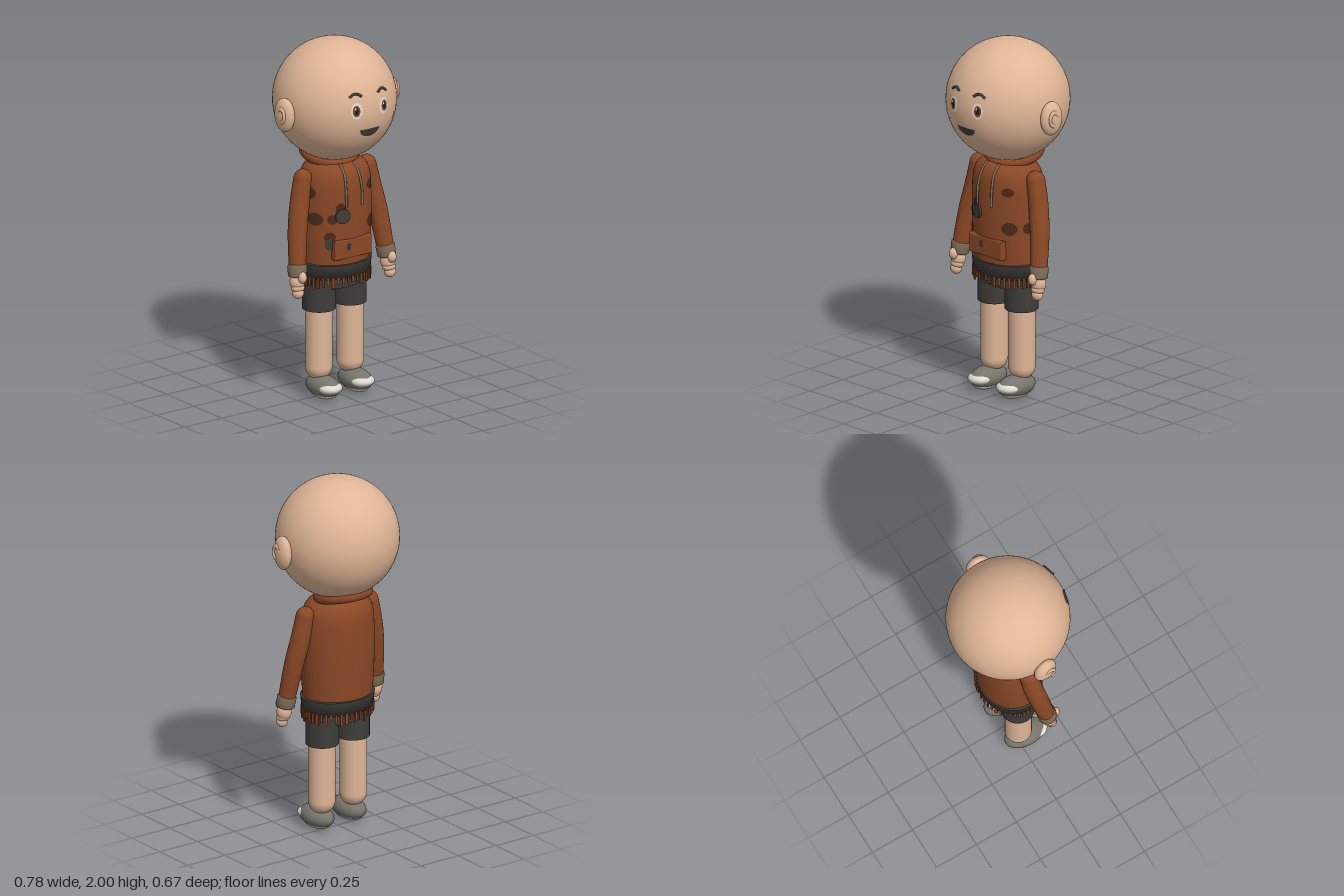
import * as THREE from 'three';

const mat = (name, color) => Object.assign(new THREE.MeshStandardMaterial({ color }), { name });

export function createModel() {
  const model = new THREE.Group();
  model.name = 'child';
  const skin = mat('skin', 0xdfb596), hoodie = mat('hoodie brown', 0x8a4826), dark = mat('charcoal', 0x3f3d3a);
  const spotMat = mat('patch brown', 0x4a2a1a), cuffMat = mat('khaki grey', 0x7d6c58);
  const shoeMat = mat('shoe grey', 0x77746d), white = mat('off white', 0xdedad2);
  const iris = mat('iris brown', 0x7a3e22), black = mat('pupil black', 0x1c1817);

  const add = (name, geo, material, x = 0, y = 0, z = 0) => {
    const m = new THREE.Mesh(geo, material);
    m.name = name;
    m.position.set(x, y, z);
    model.add(m);
    return m;
  };
  const ellipsoid = (name, material, x, y, z, rx, ry, rz) =>
    add(name, new THREE.SphereGeometry(1, 32, 20).scale(rx, ry, rz), material, x, y, z);
  const path = (pts) => new THREE.CatmullRomCurve3(pts.map((p) => new THREE.Vector3(...p)));
  const tube = (pts, r) => new THREE.TubeGeometry(path(pts), 16, r, 8);

  // Tube whose radius changes along its length
  const taperedTube = (pts, radiusAt) => {
    const curve = path(pts), seg = 24, sides = 24;
    const geo = new THREE.TubeGeometry(curve, seg, 1, sides);
    const pos = geo.attributes.position, v = new THREE.Vector3();
    for (let i = 0; i < pos.count; i++) {
      const t = Math.floor(i / (sides + 1)) / seg, c = curve.getPointAt(t);
      v.fromBufferAttribute(pos, i).sub(c).multiplyScalar(radiusAt(t)).add(c);
      pos.setXYZ(i, v.x, v.y, v.z);
    }
    geo.computeVertexNormals();
    return geo;
  };
  // Thin disc whose points are wrapped onto a surface by a rule
  const patch = (rx, ry, wrap, start = 0, length = Math.PI * 2) => {
    const geo = new THREE.RingGeometry(0.001, 1, 32, 5, start, length);
    const pos = geo.attributes.position;
    for (let i = 0; i < pos.count; i++) pos.setXYZ(i, ...wrap(pos.getX(i) * rx, pos.getY(i) * ry));
    geo.computeVertexNormals();
    return geo;
  };

  // Head
  const headR = 0.335, headY = 1.665;
  add('head', new THREE.SphereGeometry(headR, 64, 48), skin, 0, headY, 0);
  const faceZ = (x, y) => Math.sqrt(headR ** 2 - x * x - (y - headY) ** 2);
  const onFace = (name, material, cx, cy, rx, ry, lift, ...arc) =>
    add(name, patch(rx, ry, (u, v) => [cx + u, cy + v, faceZ(cx + u, cy + v) + lift], ...arc), material);

  for (const s of [-1, 1]) {
    // Ears
    ellipsoid('ear', skin, s * 0.348, 1.64, 0.022, 0.04, 0.095, 0.068).rotation.y = s * -0.12;
    const fold = add('earFold', new THREE.TorusGeometry(0.026, 0.009, 10, 24, Math.PI * 1.5), skin, s * 0.381, 1.645, 0.035);
    fold.rotation.y = Math.PI / 2;
    fold.scale.y = 1.4;
    // Eyes, brows and cheeks
    onFace('eyeWhite', white, s * 0.088, 1.69, 0.033, 0.045, 0.002);
    onFace('iris', iris, s * 0.092, 1.69, 0.021, 0.031, 0.004);
    onFace('pupil', black, s * 0.092, 1.69, 0.011, 0.018, 0.005);
    onFace('eyeGlint', white, s * 0.092 - 0.006, 1.702, 0.005, 0.006, 0.006);
    const brow = [[0.053, 1.766], [0.075, 1.78], [0.098, 1.78], [0.122, 1.765]];
    add('eyebrow', tube(brow.map(([x, y]) => [s * x, y, faceZ(x, y) + 0.002]), 0.007), dark);
    onFace('cheek', skin, s * 0.165, 1.607, 0.038, 0.025, 0.002);
  }
  onFace('mouth', dark, 0, 1.577, 0.064, 0.047, 0.003, Math.PI, Math.PI);

  // Hoodie body: oval sections, rounded at the shoulders
  const depth = 0.83;
  const bodyR = (y) => {
    const t = Math.max(0, (y - 1.15) / 0.19);
    return (0.2 + 0.011 * Math.sin((Math.PI * (y - 0.76)) / 0.58)) * Math.cbrt(Math.max(0, 1 - t ** 4));
  };
  const profile = [new THREE.Vector2(0, 0.73)];
  for (let i = 0; i <= 40; i++) {
    const y = 0.73 + 0.61 * Math.sin((i / 40) * Math.PI / 2);
    profile.push(new THREE.Vector2(bodyR(y), y));
  }
  add('hoodieBody', new THREE.LatheGeometry(profile, 48).scale(1, 1, depth), hoodie);
  const collar = add('hoodCollar', new THREE.TorusGeometry(0.132, 0.031, 16, 48).rotateX(Math.PI / 2), hoodie, 0, 1.35, -0.05);
  collar.rotation.x = 0.22;

  // Worn patches on the chest: x, y, half width, half height
  const spots = [
    [0.13, 1.19, 0.035, 0.025], [-0.202, 1.18, 0.05, 0.036], [-0.188, 1.035, 0.05, 0.036],
    [0.14, 0.985, 0.045, 0.037], [0.203, 0.985, 0.04, 0.032], [-0.078, 1.095, 0.027, 0.03],
    [-0.118, 1.035, 0.03, 0.027], [-0.13, 0.935, 0.032, 0.028],
  ];
  const onBody = (name, material, [x, y, rx, ry], lift) => {
    const a0 = Math.asin(x / bodyR(y));
    add(name, patch(rx, ry, (u, v) => {
      const r = bodyR(y + v) + lift, a = a0 + u / 0.2;
      return [r * Math.sin(a), y + v, depth * r * Math.cos(a)];
    }), material);
  };
  spots.forEach((s) => onBody('wornPatch', spotMat, s, 0.003));
  onBody('smallBadge', dark, [-0.125, 0.893, 0.034, 0.034], 0.006);
  const badge = add('roundBadge', new THREE.CylinderGeometry(0.042, 0.042, 0.012, 32).rotateX(Math.PI / 2), dark, -0.068, 1.05, 0.168);
  badge.rotation.y = -0.3;

  // Front pocket with pull tab
  const w = 0.112, h = 0.045, pocket = new THREE.Shape();
  pocket.moveTo(-w, -h).lineTo(w, -h).lineTo(w, h).lineTo(-w, h);
  add('pocket', new THREE.ExtrudeGeometry(pocket, { depth: 0.03, bevelSize: 0.009, bevelThickness: 0.006, bevelSegments: 3 }), hoodie, 0, 0.862, 0.14);
  ellipsoid('pocketPull', dark, -0.03, 0.872, 0.177, 0.009, 0.02, 0.006);

  // Drawstrings
  for (const s of [-1, 1])
    add('drawstring', tube([[s * 0.045, 1.325, 0.11], [s * 0.047, 1.28, 0.152], [s * 0.052, 1.2, 0.176], [s * 0.052, 1.1, 0.181]], 0.007), cuffMat);

  // Hem band and ragged fringe
  const hem = [[0, 0.7], [0.205, 0.69], [0.214, 0.77], [0.198, 0.775]].map((p) => new THREE.Vector2(...p));
  hem.splice(3, 0, hem[2].clone());
  add('hemBand', new THREE.LatheGeometry(hem, 48).scale(1, 1, 0.81), dark);
  let seed = 7;
  const rnd = () => (seed = (seed * 16807) % 2147483647) / 2147483647;
  for (let i = 0; i < 44; i++) {
    const a = (i / 44) * Math.PI * 2, len = 0.035 + rnd() * 0.035;
    const strip = add('fringe', new THREE.BoxGeometry(0.009 + rnd() * 0.009, len, 0.008), hoodie,
      0.206 * Math.sin(a), 0.704 - len / 2, 0.167 * Math.cos(a));
    strip.rotation.y = a;
  }

  // Shorts seat
  add('shortsSeat', new THREE.CylinderGeometry(0.185, 0.18, 0.12, 40).scale(1, 1, 0.6), dark, 0, 0.68, 0);

  for (const s of [-1, 1]) {
    // Sleeves
    const arm = [[s * 0.212, 1.25, 0.004], [s * 0.238, 1.13, 0.01], [s * 0.268, 0.98, 0.03], [s * 0.292, 0.79, 0.06]];
    add('sleeve', taperedTube(arm, (t) => 0.052 + 0.004 * Math.sin(t * Math.PI) - 0.005 * t), hoodie);
    ellipsoid('shoulder', hoodie, ...arm[0], 0.052, 0.052, 0.052);
    const cuffShape = [[0, 0.035], [0.045, 0.035], [0.053, 0.025], [0.05, -0.03], [0.042, -0.036], [0, -0.036]].reverse();
    const cuff = add('cuff', new THREE.LatheGeometry(cuffShape.map((p) => new THREE.Vector2(...p)), 28), cuffMat, s * 0.295, 0.764, 0.064);
    cuff.rotation.set(-0.12, 0, s * 0.1);
    // Hands
    ellipsoid('palm', skin, s * 0.302, 0.702, 0.073, 0.042, 0.05, 0.04);
    ellipsoid('thumb', skin, s * 0.298, 0.735, 0.115, 0.024, 0.032, 0.024);
    ellipsoid('knuckles', skin, s * 0.303, 0.672, 0.08, 0.039, 0.028, 0.034);
    ellipsoid('fingers', skin, s * 0.306, 0.643, 0.086, 0.033, 0.032, 0.03);
    // Shorts and legs
    add('shortsLeg', new THREE.CylinderGeometry(0.091, 0.091, 0.2, 36), dark, s * 0.102, 0.597, 0);
    add('leg', new THREE.CapsuleGeometry(0.074, 0.4, 8, 32), skin, s * 0.105, 0.37, 0);
    // Shoes
    ellipsoid('shoe', shoeMat, s * 0.107, 0.068, 0.043, 0.075, 0.06, 0.123);
    ellipsoid('toeCap', white, s * 0.107, 0.072, 0.108, 0.067, 0.033, 0.062);
    ellipsoid('sole', white, s * 0.107, 0.042, 0.045, 0.058, 0.042, 0.1);
  }
  return model;
}
